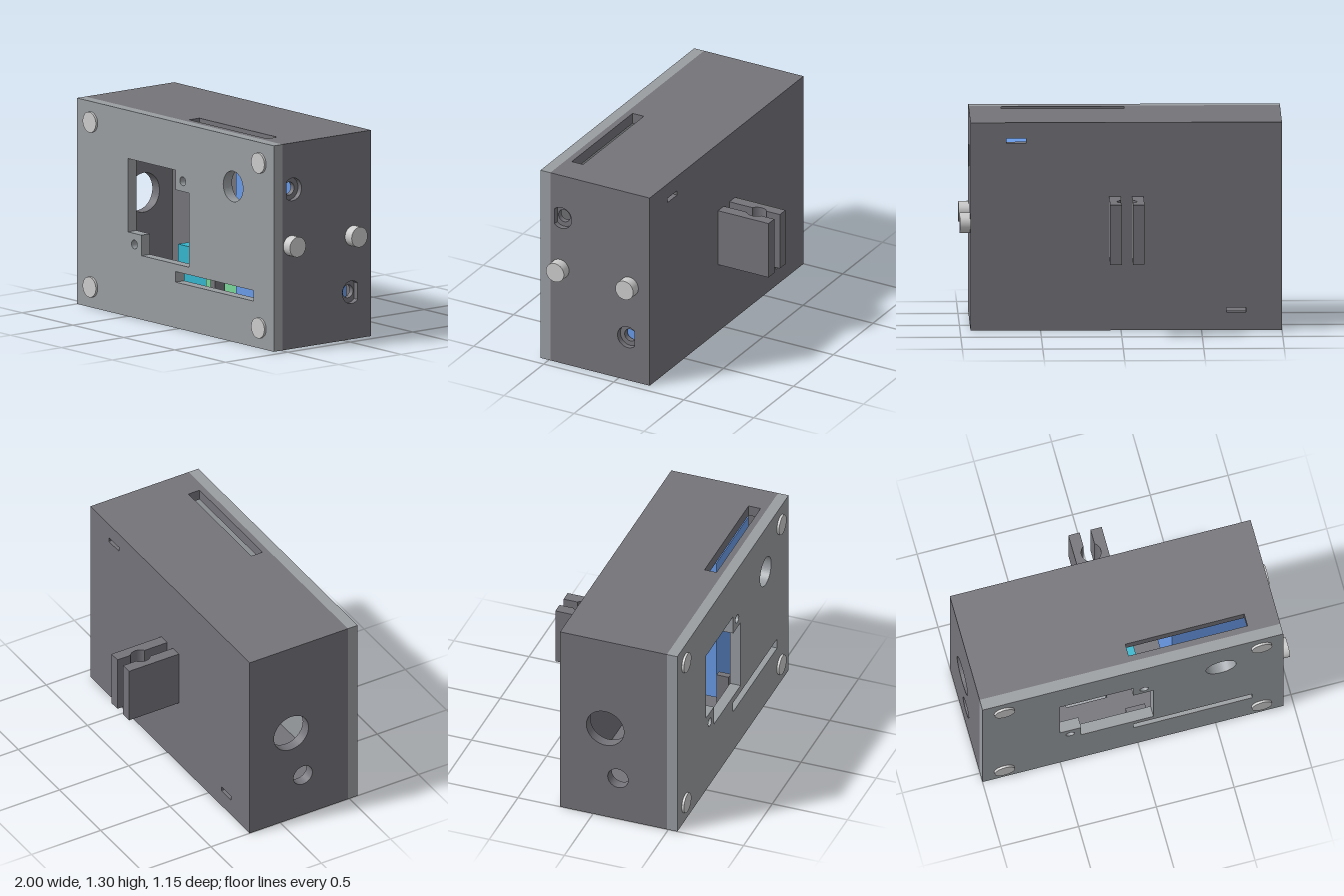
import * as THREE from 'three';

const X0 = -1, X1 = 0.935, H = 1.305, ZB = -0.22, ZL = 0.49, ZF = 0.56, T = 0.07;

const mat = (color) => new THREE.MeshStandardMaterial({ color });

// Hole or outline helpers
function rect(x0, y0, x1, y1, C = THREE.Shape) {
  const s = new C();
  s.moveTo(x0, y0);
  s.lineTo(x1, y0);
  s.lineTo(x1, y1);
  s.lineTo(x0, y1);
  s.closePath();
  return s;
}
const slot = (x0, y0, x1, y1) => rect(x0, y0, x1, y1, THREE.Path);
const round = (x, y, r) => new THREE.Path().absarc(x, y, r, 0, Math.PI * 2);

// Circle with one flat, on the +u side (dir 1) or the -u side (dir -1)
function flatRound(u, v, r, flat, dir) {
  const a = Math.acos(flat / r);
  const start = dir > 0 ? a : Math.PI + a;
  const p = new THREE.Path().absarc(u, v, r, start, start + 2 * Math.PI - 2 * a);
  p.closePath();
  return p;
}

// Axis mappings: front panels grow to +z, side panels to -x, level panels to -y
const v3 = (x, y, z) => new THREE.Vector3(x, y, z);
const FRONT = new THREE.Matrix4();
const SIDE = new THREE.Matrix4().makeBasis(v3(0, 0, 1), v3(0, 1, 0), v3(-1, 0, 0));
const LEVEL = new THREE.Matrix4().makeBasis(v3(1, 0, 0), v3(0, 0, 1), v3(0, -1, 0));

export function createModel() {
  const group = new THREE.Group();
  const shell = mat(0x737379), lid = mat(0x999da1), metal = mat(0xcccccc);
  const blue = mat(0x6a9be8), green = mat(0x79d698), cyan = mat(0x35b5cc);

  const add = (name, geometry, material, x = 0, y = 0, z = 0) => {
    const m = new THREE.Mesh(geometry, material);
    m.name = name;
    m.position.set(x, y, z);
    group.add(m);
    return m;
  };
  const panel = (name, shape, holes, depth, axes, material, x, y, z) => {
    shape.holes.push(...holes);
    const g = new THREE.ExtrudeGeometry(shape, { depth, bevelEnabled: false, curveSegments: 32 });
    return add(name, g.applyMatrix4(axes), material, x, y, z);
  };
  const block = (name, material, x0, x1, y0, y1, z0, z1) =>
    add(name, new THREE.BoxGeometry(x1 - x0, y1 - y0, z1 - z0), material,
      (x0 + x1) / 2, (y0 + y1) / 2, (z0 + z1) / 2);

  // Hollow case
  panel('topWall', rect(X0, ZB, X1, ZL), [slot(-0.03, 0.37, 0.735, 0.45)], T, LEVEL, shell, 0, H, 0);
  panel('bottomWall', rect(X0, ZB, X1, ZL), [
    slot(0.5, 0.055, 0.62, 0.085),
    slot(0.5, 0.24, 0.62, 0.27),
    slot(-0.375, 0.15, -0.115, 0.245),
  ], T, LEVEL, shell, 0, T, 0);
  panel('backWall', rect(X0, T, X1, H - T), [
    slot(0.59, 1.175, 0.71, 1.205),
    slot(-0.775, 0.112, -0.655, 0.142),
  ], T, FRONT, shell, 0, 0, ZB);
  const sideShape = () => rect(ZB + T, T, ZL, H - T);
  panel('rightHandWall', sideShape(), [
    round(0.08, 0.656, 0.125),
    round(0.165, 0.303, 0.068),
  ], T, SIDE, shell, X0 + T, 0, 0);

  // Knob side wall: flatted recesses outside, round holes inside
  panel('knobWallOuter', sideShape(), [
    flatRound(0.41, 1.01, 0.072, 0.05, 1),
    flatRound(-0.062, 0.298, 0.072, 0.05, -1),
  ], T / 2, SIDE, shell, X1, 0, 0);
  panel('knobWallInner', sideShape(), [
    round(0.41, 1.01, 0.041),
    round(-0.062, 0.298, 0.041),
  ], T / 2, SIDE, shell, X1 - T / 2, 0, 0);

  // Front lid with stepped window, slit, round opening and pin holes
  const outline = [[-0.5, 0.535], [-0.365, 0.535], [-0.365, 0.405], [0.1, 0.405],
    [0.1, 0.875], [-0.03, 0.875], [-0.03, 1.0], [-0.5, 1.0]];
  const window_ = new THREE.Path(outline.map(([x, y]) => new THREE.Vector2(x, y)));
  window_.closePath();
  panel('frontLid', rect(X0, 0, X1, H), [
    window_,
    slot(-0.03, 0.29, 0.735, 0.357),
    round(0.535, 0.985, 0.097),
    round(0.04, 0.94, 0.028),
    round(-0.435, 0.465, 0.028),
  ], ZF - ZL, FRONT, lid, 0, 0, ZL);

  // Lid screws
  for (const x of [-0.86, 0.795]) {
    for (const y of [0.13, 1.175]) {
      const g = new THREE.CylinderGeometry(0.065, 0.065, 0.035, 40).rotateX(Math.PI / 2);
      add('lidScrew', g, metal, x, y, ZF - 0.0025);
    }
  }

  // Side knobs
  for (const z of [0.42, -0.075]) {
    const g = new THREE.CylinderGeometry(0.064, 0.064, 0.085, 40).rotateZ(Math.PI / 2);
    add('sideKnob', g, metal, 1 - 0.0425, 0.655, z);
  }

  // Rear clip: two jaws with facing round grooves
  const cx = -0.033, cz = -0.435, r = 0.062, gap = 0.035;
  for (const s of [-1, 1]) {
    const a = Math.acos(gap / r);
    const jaw = new THREE.Shape();
    jaw.moveTo(gap, -0.58 - cz);
    jaw.lineTo(0.107, -0.58 - cz);
    jaw.lineTo(0.107, ZB + 0.01 - cz);
    jaw.lineTo(gap, ZB + 0.01 - cz);
    jaw.absarc(0, 0, r, a, -a, true);
    jaw.closePath();
    const m = panel('clipJaw', jaw, [], 0.375, LEVEL, shell, cx, 0.84, cz);
    if (s < 0) {
      m.rotation.z = Math.PI;
      m.position.y = 0.465;
    }
  }

  // Inner components
  block('batteryBlock', blue, 0.28, 0.84, 0.15, 1.15, -0.1, 0.33);
  block('controlBoard', cyan, -0.45, 0.1, 0.1, 0.42, 0, 0.2);
  block('terminalBoard', green, -0.1, 0.28, 0.2, 0.39, 0.2, 0.26);
  block('sliderPost', shell, 0.18, 0.22, T, 0.39, 0.37, 0.45);
  block('slideStop', shell, -0.03, 0.095, T, 0.14, 0.37, 0.45);
  block('slideStop', shell, 0.65, 0.715, T, 0.14, 0.37, 0.45);

  return group;
}
